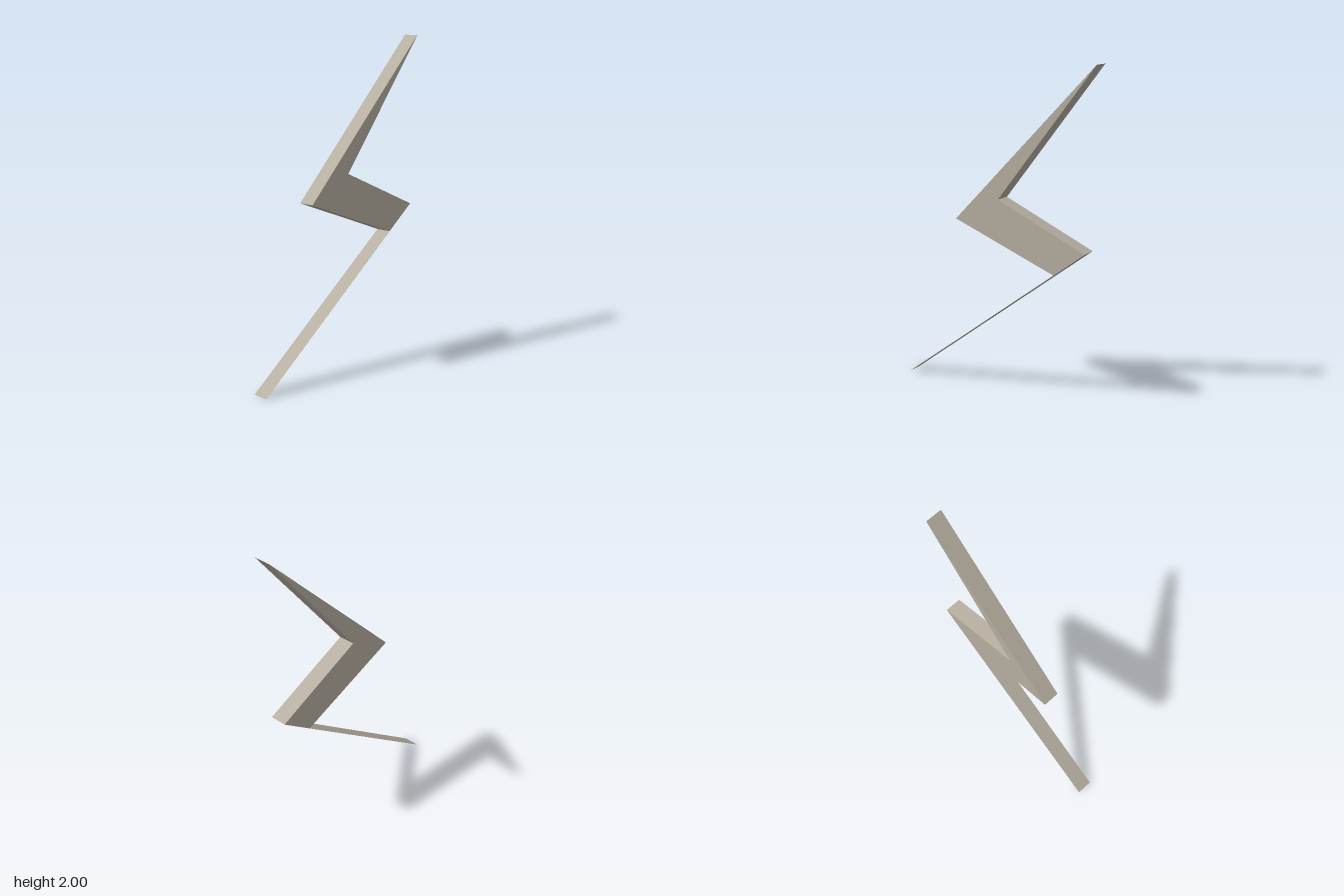
import * as THREE from 'three';

export function createModel() {
  const model = new THREE.Group();
  model.name = 'lightningBolt';

  const stone = new THREE.MeshStandardMaterial({ color: 0xb8b0a2 });
  stone.name = 'warm grey';

  // Zigzag outline, counter-clockwise from the upper tip; the lower spike is a sliver
  const outline = [
    [0.647, 2], [-0.275, 1.053], [0.4, 0.801],
    [-0.647, 0], [0.597, 0.951], [0.023, 1.201],
  ].map(([x, y]) => new THREE.Vector2(x, y));

  // Flat plate of even thickness
  const depth = 0.1;
  const geometry = new THREE.ExtrudeGeometry(new THREE.Shape(outline), { depth, bevelEnabled: false });
  geometry.translate(0, 0, -depth / 2);

  const bolt = new THREE.Mesh(geometry, stone);
  bolt.name = 'bolt';
  model.add(bolt);
  return model;
}
